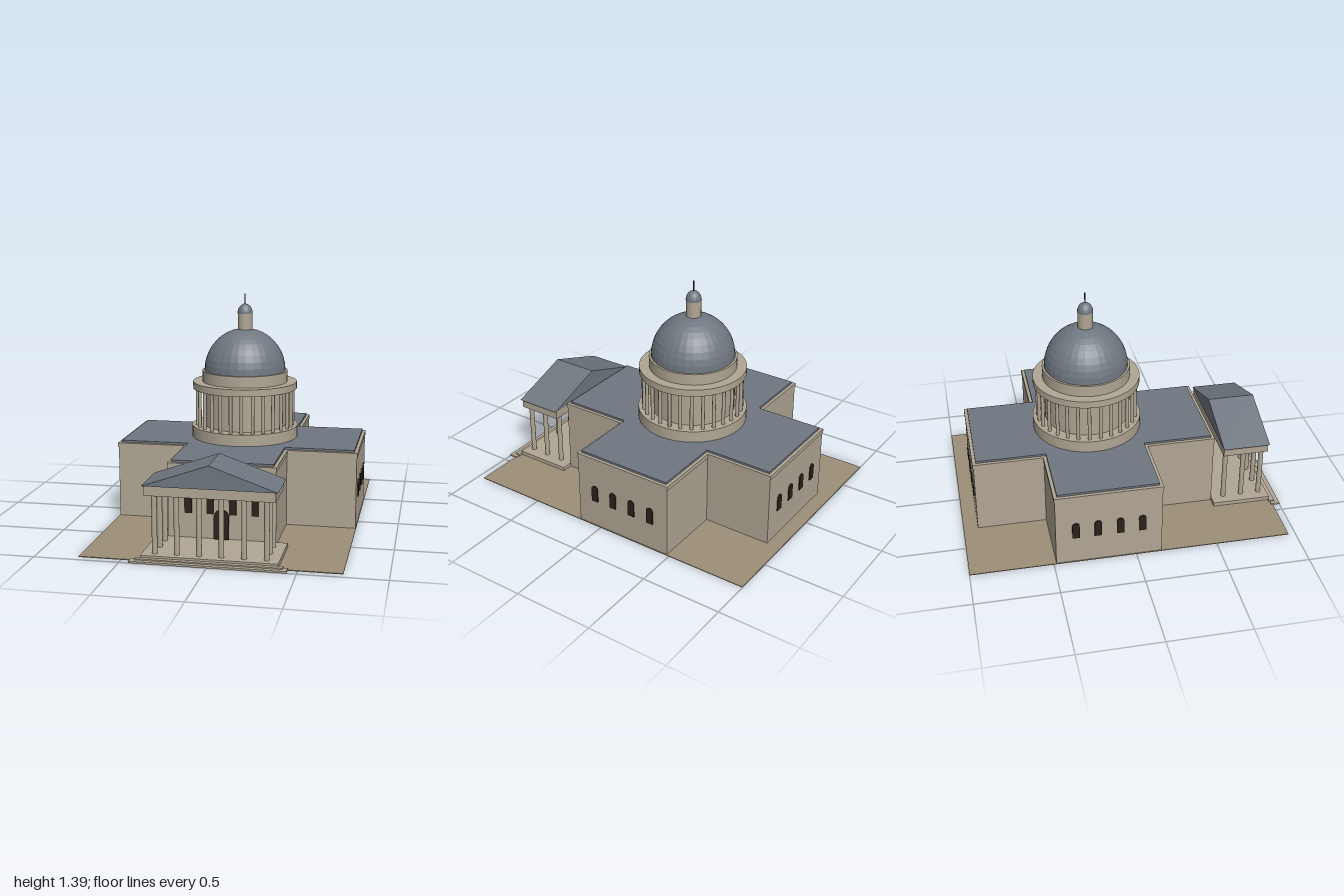
import * as THREE from 'three';

const mat = (color, flatShading = false) => {
  const m = new THREE.MeshStandardMaterial({ color });
  m.flatShading = flatShading;
  return m;
};
const stone = mat(0xb0a694);
const slate = mat(0x6f7780);
const domeSlate = mat(0x6f7780, true);
const earth = mat(0x9c9078);
const dark = mat(0x2a211a);

const CZ = -0.165; // centre of the crossing

export function createModel() {
  const model = new THREE.Group();

  const add = (name, geometry, material, x = 0, y = 0, z = 0, parent = model) => {
    const mesh = new THREE.Mesh(geometry, material);
    mesh.name = name;
    mesh.position.set(x, y, z);
    parent.add(mesh);
    return mesh;
  };
  // Box given by its extents
  const block = (name, material, halfX, y0, y1, z0, z1) =>
    add(name, new THREE.BoxGeometry(halfX * 2, y1 - y0, z1 - z0), material, 0, (y0 + y1) / 2, (z0 + z1) / 2);
  // Upright cylinder standing on y0
  const drum = (name, material, r, y0, y1, x = 0, z = CZ, sides = 48, parent = model) =>
    add(name, new THREE.CylinderGeometry(r, r, y1 - y0, sides), material, x, (y0 + y1) / 2, z, parent);
  // Cross-shaped slab: long arms along x and z, shared arm half width
  const cross = (name, material, inset, y0, y1) => {
    const a = 0.75 - inset, w = 0.324 - inset;
    const pts = [[a, -w], [a, w], [w, w], [w, a], [-w, a], [-w, w], [-a, w], [-a, -w], [-w, -w], [-w, -a], [w, -a], [w, -w]];
    const shape = new THREE.Shape(pts.map(([x, y]) => new THREE.Vector2(x, y)));
    const g = new THREE.ExtrudeGeometry(shape, { depth: y1 - y0, bevelEnabled: false }).rotateX(-Math.PI / 2);
    add(name, g, material, 0, y0, CZ);
  };
  // Round-headed opening panel, base at y = 0, facing +z
  const arch = (w, h) => {
    const r = w / 2;
    const s = new THREE.Shape();
    s.moveTo(-r, 0);
    s.lineTo(r, 0);
    s.lineTo(r, h - r);
    s.absarc(0, h - r, r, 0, Math.PI, false);
    s.closePath();
    return new THREE.ExtrudeGeometry(s, { depth: 0.012, bevelEnabled: false, curveSegments: 8 });
  };

  // Ground and cross-plan body
  block('ground', earth, 0.75, 0, 0.005, -1, 0.956);
  cross('walls', stone, 0.004, 0.005, 0.45);
  cross('cornice', stone, 0, 0.45, 0.477);
  cross('roof', slate, 0.02, 0.477, 0.49);

  // Four windows on the end of every arm
  const windowGeometry = arch(0.044, 0.106);
  for (let side = 0; side < 4; side++) {
    const wing = new THREE.Group();
    wing.name = 'wingWindows';
    wing.position.z = CZ;
    wing.rotation.y = side * Math.PI / 2;
    for (let i = 0; i < 4; i++) {
      add('window', windowGeometry, dark, (i - 1.5) * 0.133, 0.18, 0.741, wing);
    }
    model.add(wing);
  }
  add('door', arch(0.09, 0.182), dark, 0, 0.027, 0.58);

  // Colonnaded drum
  drum('drumBase', stone, 0.337, 0.48, 0.562);
  drum('drumWall', stone, 0.26, 0.562, 0.8);
  const colonnade = new THREE.Group();
  colonnade.name = 'colonnade';
  model.add(colonnade);
  const count = 28;
  for (let i = 0; i < count; i++) {
    const a = (i + 0.5) / count * Math.PI * 2;
    drum('drumColumn', stone, 0.011, 0.562, 0.8, Math.sin(a) * 0.305, CZ + Math.cos(a) * 0.305, 10, colonnade);
  }
  drum('drumEntablature', stone, 0.33, 0.798, 0.842);
  drum('attic', stone, 0.27, 0.842, 0.912);

  // Dome, lantern and spire
  const hemisphere = (r, w, h) => new THREE.SphereGeometry(r, w, h, 0, Math.PI * 2, 0, Math.PI / 2);
  add('dome', hemisphere(0.257, 32, 10), domeSlate, 0, 0.912, CZ).scale.y = 1.03;
  drum('lantern', stone, 0.046, 1.15, 1.272, 0, CZ, 20);
  add('lanternCap', hemisphere(0.048, 20, 7), domeSlate, 0, 1.272, CZ).scale.y = 1.25;
  drum('spire', dark, 0.004, 1.32, 1.395, 0, CZ, 8);

  // Portico platform and steps
  block('lowerStep', stone, 0.445, 0, 0.011, 0.945, 1);
  block('upperStep', stone, 0.42, 0, 0.018, 0.94, 0.972);
  block('platform', stone, 0.392, 0.005, 0.03, 0.58, 0.945);

  // Portico columns: six across the front, returns at both ends
  const portico = new THREE.Group();
  portico.name = 'porticoColumns';
  model.add(portico);
  const column = (x, z) => drum('porticoColumn', stone, 0.0155, 0.03, 0.372, x, z, 14, portico);
  for (let i = 0; i < 6; i++) column((i - 2.5) * 0.128, 0.893);
  for (const x of [-0.32, 0.32]) for (const z of [0.777, 0.66]) column(x, z);

  // Entablature and gabled roof
  block('porticoEntablature', stone, 0.373, 0.37, 0.426, 0.634, 0.918);
  const gable = new THREE.Shape();
  gable.moveTo(-0.387, 0);
  gable.lineTo(0.387, 0);
  gable.lineTo(0, 0.135);
  gable.closePath();
  add('porticoRoof', new THREE.ExtrudeGeometry(gable, { depth: 0.295, bevelEnabled: false }), slate, 0, 0.426, 0.63);

  return model;
}
